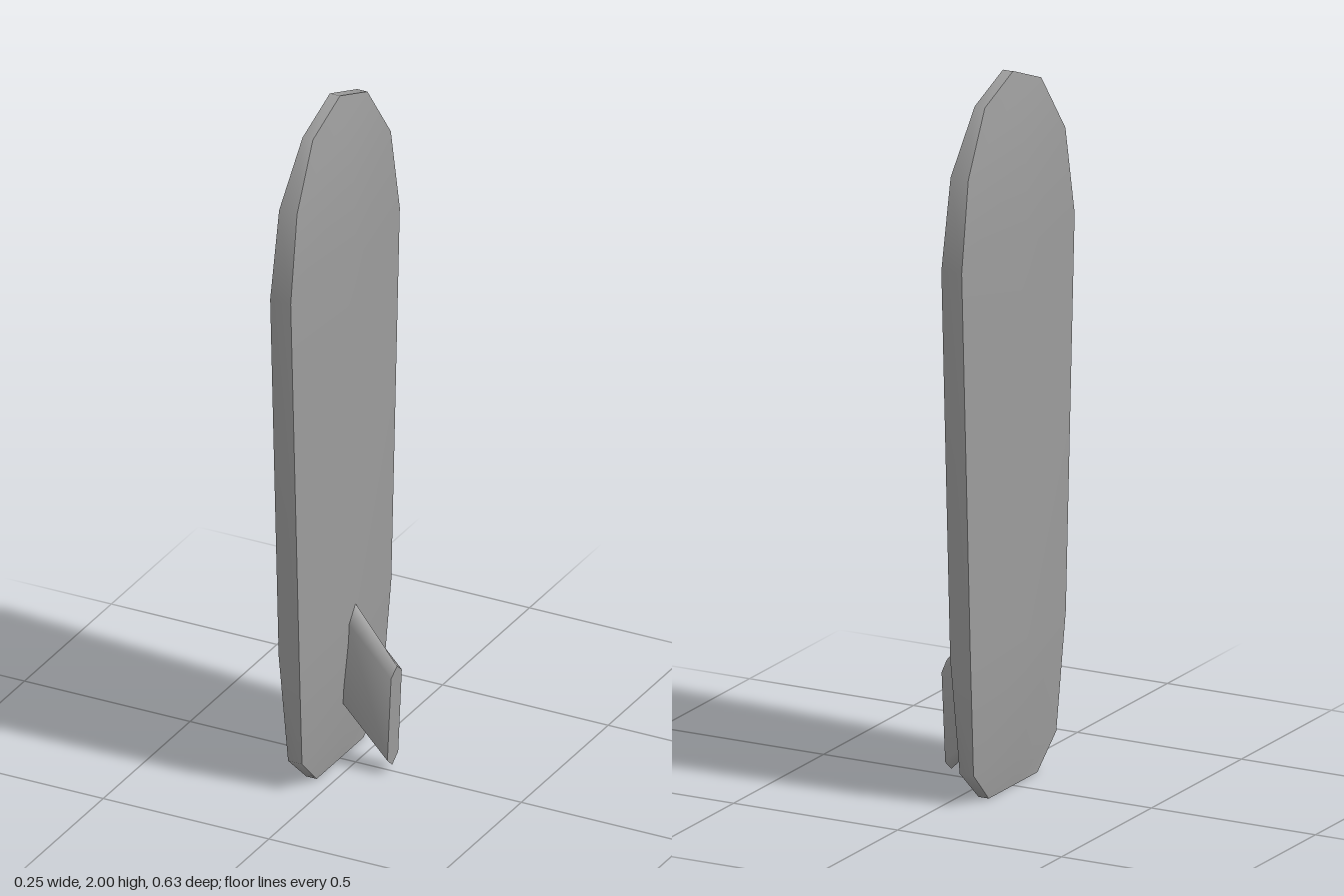
import * as THREE from 'three';

const material = new THREE.MeshStandardMaterial({ color: 0x9c9c9c });
const CX = -0.0625; // mid-plane of the board

// Board stations, nose to tail: height, half width, half thickness at rail, half thickness at centre
const stations = [
  [2.0, 0, 0.0155, 0.0157],
  [1.94, 0.157, 0.0155, 0.026],
  [1.77, 0.27, 0.027, 0.055],
  [1.52, 0.314, 0.031, 0.0625],
  [0.42, 0.265, 0.031, 0.0625],
  [0.09, 0.23, 0.021, 0.03],
  [0.0, 0.135, 0.0155, 0.0157],
];

// Smooth skin over rows of points; closed rows wrap round
function skin(rows, closed = false) {
  const n = rows[0].length, index = [];
  for (let i = 0; i < rows.length - 1; i++) {
    for (let j = 0; j < (closed ? n : n - 1); j++) {
      const k = (j + 1) % n;
      const a = i * n + j, b = i * n + k, c = a + n, d = b + n;
      index.push(a, b, d, a, d, c);
    }
  }
  return build(rows.flat(), index);
}

function build(points, index) {
  const geometry = new THREE.BufferGeometry();
  geometry.setAttribute('position', new THREE.Float32BufferAttribute(points.flat(), 3));
  geometry.setIndex(index);
  geometry.computeVertexNormals();
  return geometry;
}

function add(group, name, geometry) {
  const mesh = new THREE.Mesh(geometry, material);
  mesh.name = name;
  group.add(mesh);
}

// Gently ridged face; side is +1 for the bottom (+x), -1 for the deck (-x).
// The nose keeps a hair of width so its normals stay defined.
function boardFace(side) {
  return skin(stations.map(([y, w, edge, mid]) => {
    const z = side * Math.max(w, 0.002);
    return [[CX + side * edge, y, -z], [CX + side * mid, y, 0], [CX + side * edge, y, z]];
  }));
}

// Rail: band running round the whole outline, with a single point at the nose
function rail() {
  const outline = [
    ...stations.map(([y, w, e]) => [y, w, e]),
    ...stations.slice(1).map(([y, w, e]) => [y, -w, e]).reverse(),
  ];
  return skin([-1, 1].map((s) => outline.map(([y, z, e]) => [CX + s * e, y, z])), true);
}

// Pointed hexagonal fin section: [x, y] at top, upper shoulder, lower shoulder, bottom
function finRing([top, upper, lower, bottom], w) {
  return [[...top, 0], [...upper, w], [...lower, w], [...bottom, 0], [...lower, -w], [...upper, -w]];
}

export function createModel() {
  const model = new THREE.Group();
  model.name = 'surfboard';

  const board = new THREE.Group();
  board.name = 'board';
  add(board, 'bottomFace', boardFace(1));
  add(board, 'deckFace', boardFace(-1));
  add(board, 'rail', rail());
  model.add(board);

  // Swept fin, its root following the curve of the board
  const root = finRing([[-0.01, 0.49], [-0.01, 0.435], [-0.022, 0.185], [-0.024, 0.155]], 0.031);
  const tip = finRing([[0.125, 0.32], [0.123, 0.295], [0.112, 0.045], [0.11, 0.018]], 0.031);
  const fin = new THREE.Group();
  fin.name = 'fin';
  add(fin, 'finSides', skin([root, tip], true));
  add(fin, 'finTip', build(tip, [0, 1, 5, 1, 2, 5, 2, 4, 5, 2, 3, 4]));
  model.add(fin);

  return model;
}
